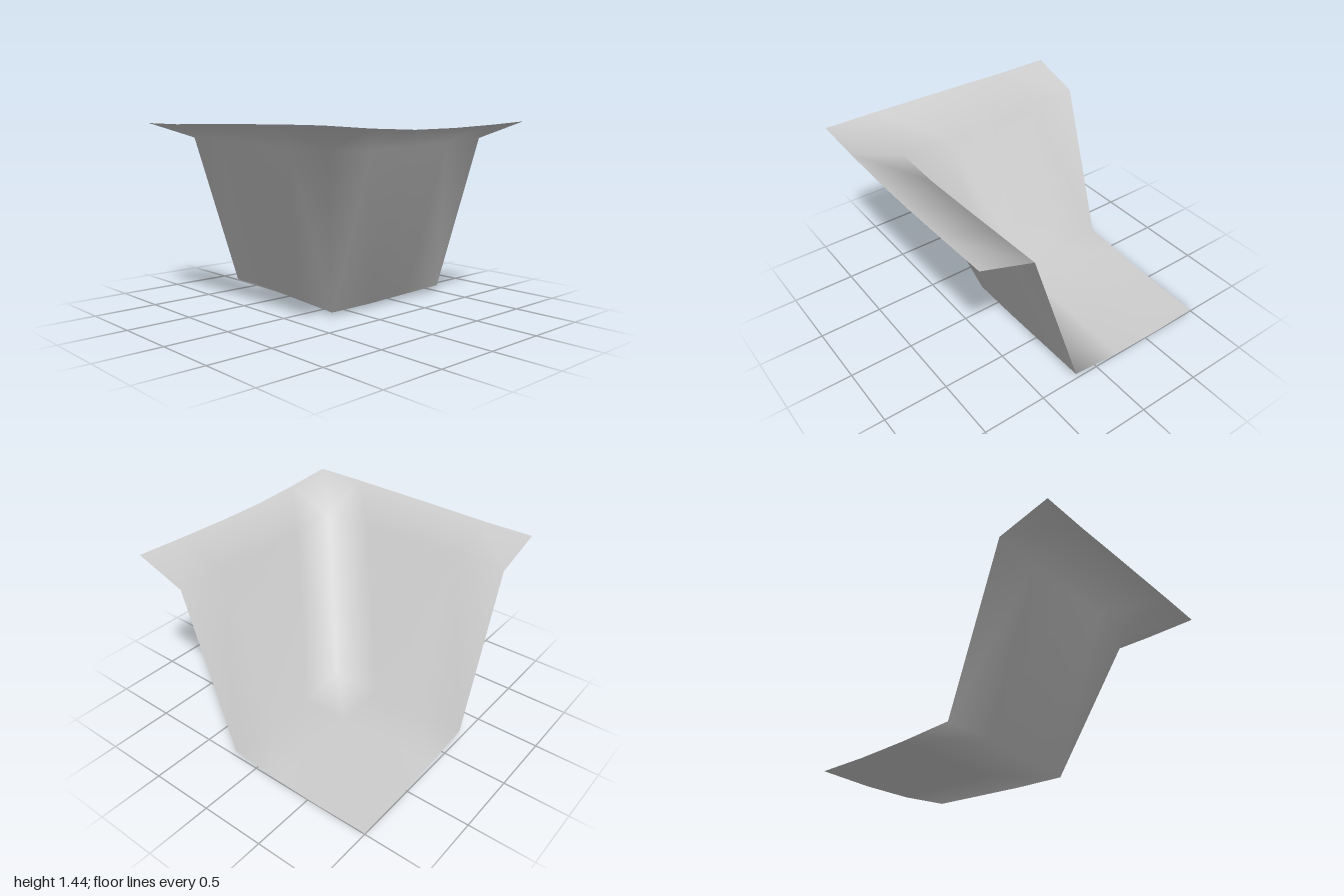
import * as THREE from 'three';

// Heights on a regular grid: rows run back to front, columns from -x to +x
const HEIGHTS = [
  [0.01, 0.0, 0.01, 0.05, 1.305, 1.44],
  [0.02, 0.015, 0.015, 0.04, 1.285, 1.42],
  [0.045, 0.04, 0.025, 0.03, 1.265, 1.405],
  [0.083, 0.08, 0.055, 0.03, 1.25, 1.4],
  [1.305, 1.3, 1.285, 1.265, 1.265, 1.415],
  [1.425, 1.422, 1.43, 1.435, 1.44, 1.44],
];

function terrainGeometry(rows) {
  const n = rows.length;
  const step = 2 / (n - 1);
  const positions = [];
  const indices = [];
  rows.forEach((row, j) => row.forEach((y, i) => positions.push(-1 + i * step, y, -1 + j * step)));
  // Each cell is split along the line of the cliff corner
  for (let j = 0; j < n - 1; j++) {
    for (let i = 0; i < n - 1; i++) {
      const a = j * n + i, b = a + 1, c = a + n, d = c + 1;
      indices.push(a, d, b, a, c, d);
    }
  }
  const geometry = new THREE.BufferGeometry();
  geometry.setAttribute('position', new THREE.Float32BufferAttribute(positions, 3));
  geometry.setIndex(indices);
  geometry.computeVertexNormals();
  return geometry;
}

export function createModel() {
  const stone = new THREE.MeshStandardMaterial({ color: 0xcccccc, side: THREE.DoubleSide });
  stone.name = 'light grey stone';

  // Low floor, corner cliff walls and upper ledge as one smooth sheet
  const cliff = new THREE.Mesh(terrainGeometry(HEIGHTS), stone);
  cliff.name = 'cliffCorner';

  const model = new THREE.Group();
  model.name = 'cliffCornerTile';
  model.add(cliff);
  return model;
}
